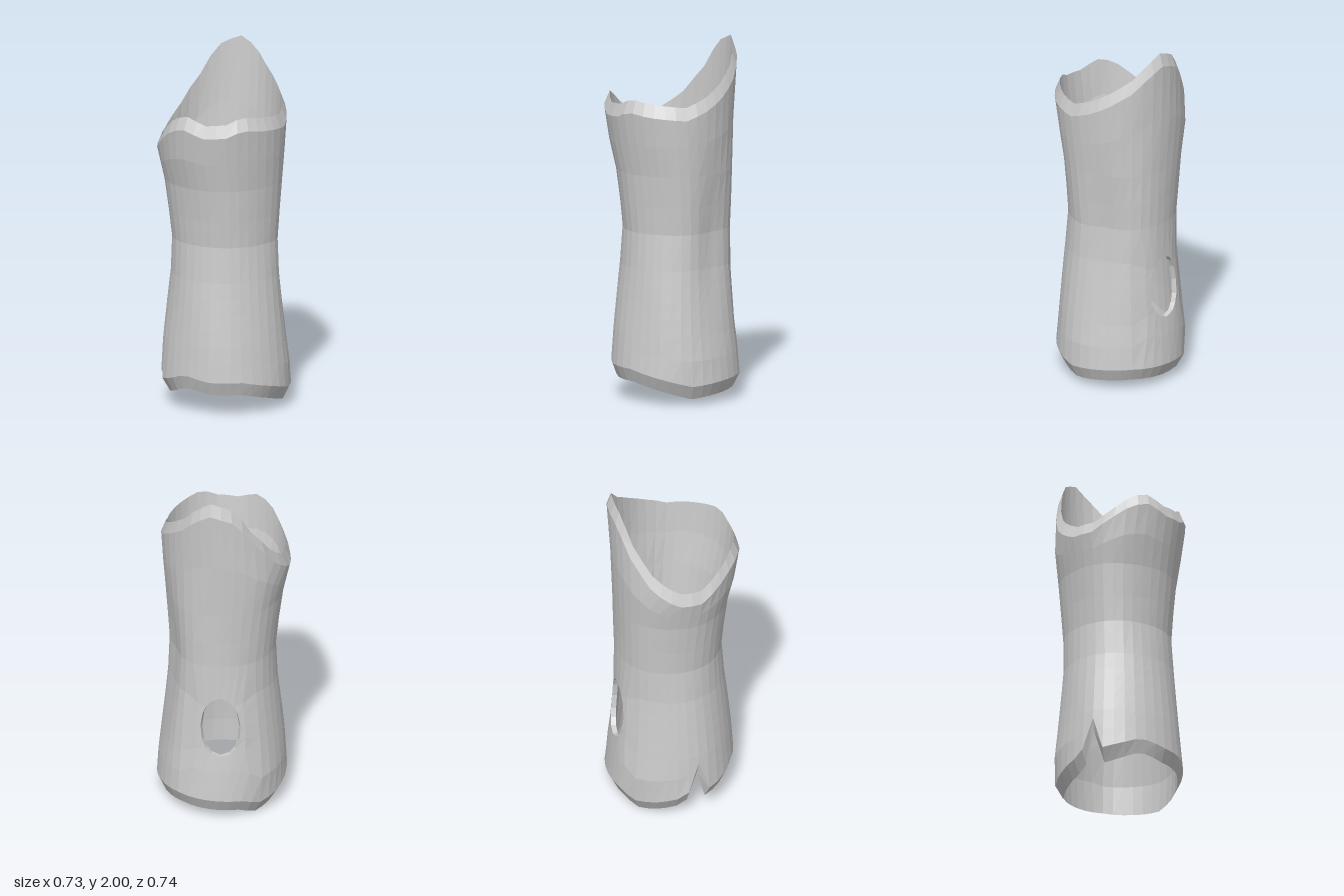
import * as THREE from 'three';

const COLS = 36, STEP = 360 / COLS, WALL = 0.027;

// Extents of the trunk by height: y, left (-x), right (+x), front (+z), back (-z)
const PROFILE = [
  [0.0, 0.32, 0.35, 0.32, 0.35], [0.15, 0.355, 0.368, 0.345, 0.37], [0.4, 0.335, 0.345, 0.325, 0.34],
  [0.75, 0.30, 0.315, 0.29, 0.317], [0.95, 0.295, 0.303, 0.277, 0.315], [1.25, 0.325, 0.32, 0.305, 0.325],
  [1.47, 0.372, 0.338, 0.35, 0.335], [1.62, 0.365, 0.347, 0.375, 0.34], [1.8, 0.35, 0.345, 0.37, 0.35], [2.0, 0.34, 0.34, 0.37, 0.36],
];
// Rim heights by angle in degrees: 0 = front, 90 = +x, 180 = back, 270 = -x
const TOP = [
  [0, 1.66], [20, 1.67], [35, 1.71], [55, 1.69], [90, 1.67], [108, 1.71], [127, 1.77], [150, 1.86],
  [165, 1.95], [180, 2], [195, 1.97], [205, 1.94], [220, 1.79], [230, 1.72], [240, 1.64], [255, 1.57],
  [270, 1.53], [290, 1.53], [305, 1.59], [325, 1.68], [340, 1.7], [360, 1.66],
];
const BOTTOM = [
  [0, 0.12], [30, 0.12], [60, 0.08], [90, 0.035], [120, 0.05], [150, 0.06], [180, 0.05], [210, 0.04],
  [230, 0], [250, 0.02], [270, 0.05], [280, 0.09], [290, 0.27], [300, 0.08], [315, 0.1], [335, 0.145], [360, 0.12],
];
const HOLE = { angle: 190, y: 0.57, halfAngle: 20, halfHeight: 0.18 };

function lookup(table, key, column = 1) {
  let i = 1;
  while (i < table.length - 1 && table[i][0] < key) i++;
  const a = table[i - 1], b = table[i];
  const t = THREE.MathUtils.clamp((key - a[0]) / (b[0] - a[0]), 0, 1);
  return a[column] + (b[column] - a[column]) * t;
}

// Point on the trunk at an angle and height, moved inwards by inset
function trunkPoint(angle, y, inset) {
  // grid lines near the knot hole bend into an ellipse
  const u = (angle - HOLE.angle) / HOLE.halfAngle, v = (y - HOLE.y) / HOLE.halfHeight;
  const m = Math.max(Math.abs(u), Math.abs(v));
  if (m > 0.99 && m < 2) {
    const k = THREE.MathUtils.lerp(1 / Math.hypot(u, v), 1, Math.max(0, m - 1));
    angle = HOLE.angle + u * k * HOLE.halfAngle;
    y = HOLE.y + v * k * HOLE.halfHeight;
  }
  const a = THREE.MathUtils.degToRad(angle);
  const [l, r, f, b] = [1, 2, 3, 4].map((c) => lookup(PROFILE, y, c));
  // flattened dent on one side of the waist
  const dent = 0.035 * Math.exp(-(((angle - 118) / 22) ** 2) - ((y - 0.85) / 0.4) ** 2);
  const ripple = 0.004 * Math.sin(5 * a + 3 * y) * Math.sin(4 * y);
  const d = -inset - dent + ripple;
  return new THREE.Vector3(
    (r - l) / 2 + Math.sin(a) * ((r + l) / 2 + d), y,
    (f - b) / 2 + Math.cos(a) * ((f + b) / 2 + d));
}

// Skin between closed loops of points, leaving out the cells skip() picks
function skin(name, loops, skip = () => false) {
  const n = loops[0].length, index = [];
  for (let r = 0; r < loops.length - 1; r++) {
    for (let c = 0; c < n; c++) {
      if (skip(r, c)) continue;
      const a = r * n + c, b = r * n + (c + 1) % n;
      index.push(a, b, b + n, a, b + n, a + n);
    }
  }
  const geometry = new THREE.BufferGeometry().setFromPoints(loops.flat());
  geometry.setIndex(index);
  geometry.computeVertexNormals();
  const mesh = new THREE.Mesh(geometry, new THREE.MeshStandardMaterial({ color: 0xcccccc, flatShading: true }));
  mesh.name = name;
  return mesh;
}

export function createModel() {
  const group = new THREE.Group();
  group.name = 'hollowLog';

  // Row heights from the lower rim to the upper rim; rows 2 to 6 span the knot hole
  const levels = [0.39, 0.48, 0.57, 0.66, 0.75, 0.95, 1.1, 1.28];
  const wallLoops = (inset, lowBevel, highBevel) => {
    const columns = [];
    for (let c = 0; c < COLS; c++) {
      const angle = c * STEP;
      const low = lookup(BOTTOM, angle) + lowBevel, high = lookup(TOP, angle) - highBevel;
      const ys = [low, (low + levels[0]) / 2, ...levels, (high + 1.28) / 2, high];
      columns.push(ys.map((y) => trunkPoint(angle, y, inset)));
    }
    return columns[0].map((_, r) => columns.map((col) => col[r]));
  };
  const outer = wallLoops(0, 0.075, 0.07);
  const inner = wallLoops(WALL, 0, 0);
  const last = outer.length - 1;

  // Walls with the knot hole left open
  const c0 = (HOLE.angle - HOLE.halfAngle) / STEP, c1 = (HOLE.angle + HOLE.halfAngle) / STEP;
  const r0 = 2, r1 = 6;
  const inHole = (r, c) => r >= r0 && r < r1 && c >= c0 && c < c1;
  group.add(skin('outerBark', outer, inHole));
  group.add(skin('innerWall', [...inner].reverse(), (r, c) => inHole(last - 1 - r, c)));

  // Bevelled broken rims
  group.add(skin('topRim', [outer[last], inner[last]]));
  group.add(skin('bottomRim', [inner[0], outer[0]]));

  // Rim of the knot hole, through the wall
  const holeLoop = (rows) => {
    const loop = [];
    for (let c = c0; c < c1; c++) loop.push(rows[r0][c]);
    for (let r = r0; r < r1; r++) loop.push(rows[r][c1]);
    for (let c = c1; c > c0; c--) loop.push(rows[r1][c]);
    for (let r = r1; r > r0; r--) loop.push(rows[r][c0]);
    return loop;
  };
  group.add(skin('knotHoleRim', [holeLoop(outer), holeLoop(inner)]));

  return group;
}
